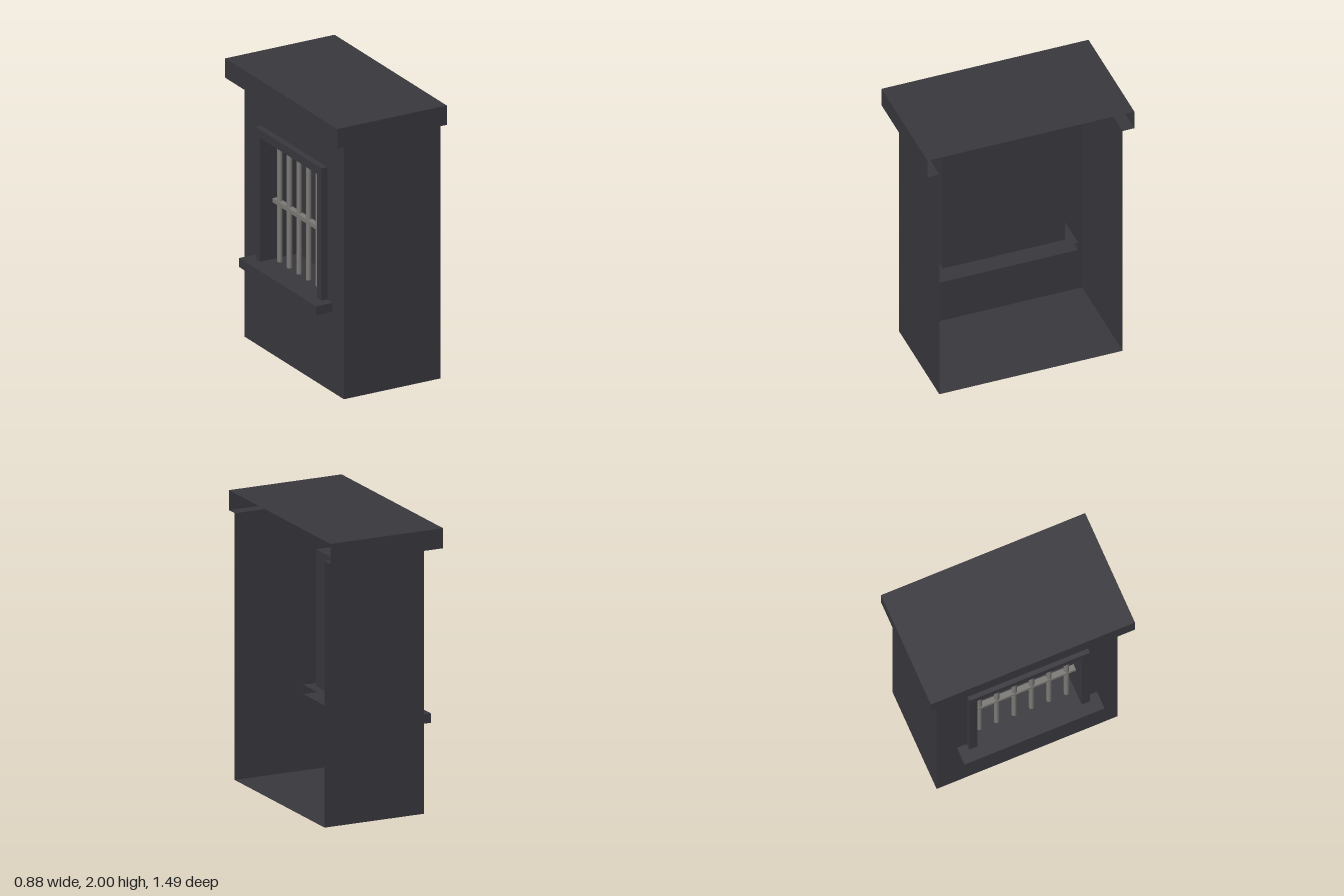
import * as THREE from 'three';

export function createModel() {
  const model = new THREE.Group();
  const dark = new THREE.MeshStandardMaterial({ color: 0x39383e, side: THREE.DoubleSide });
  dark.name = 'dark painted wall';
  const metal = new THREE.MeshStandardMaterial({ color: 0x7d7b77 });
  metal.name = 'grey metal';

  function add(name, geometry, material = dark, parent = model) {
    const mesh = new THREE.Mesh(geometry, material);
    mesh.name = name;
    parent.add(mesh);
    return mesh;
  }

  // box given by its limits; skip lists faces left open (0 +x, 1 -x, 2 +y, 3 -y, 4 +z, 5 -z)
  function box(x0, x1, y0, y1, z0, z1, skip = []) {
    const g = new THREE.BoxGeometry(x1 - x0, y1 - y0, z1 - z0);
    const index = Array.from(g.index.array).filter((_, i) => !skip.includes(Math.floor(i / 6)));
    g.setIndex(index);
    g.clearGroups();
    return g.translate((x0 + x1) / 2, (y0 + y1) / 2, (z0 + z1) / 2);
  }

  const outline = (pts) => pts.map(([a, b]) => new THREE.Vector2(a, b));

  // booth shell: floor and two end walls, open towards +x
  add('boothShell', box(-0.31, 0.44, 0, 1.86, -0.66, 0.66, [0, 1, 2]));

  // window wall with its opening
  const wall = new THREE.Shape(outline([[-0.66, 0], [0.66, 0], [0.66, 1.86], [-0.66, 1.86]]));
  wall.holes.push(new THREE.Path(outline([[-0.38, 0.645], [-0.38, 1.54], [0.38, 1.54], [0.38, 0.645]])));
  add('windowWall', new THREE.ShapeGeometry(wall).rotateY(-Math.PI / 2).translate(-0.31, 0, 0));

  // hollow roof and the soffit under its overhang
  add('roof', box(-0.41, 0.44, 1.86, 2, -0.745, 0.745, [0, 3]));
  const soffit = new THREE.Shape(outline([
    [0.44, -0.745], [-0.41, -0.745], [-0.41, 0.745], [0.44, 0.745],
    [0.44, 0.66], [-0.31, 0.66], [-0.31, -0.66], [0.44, -0.66],
  ]));
  add('soffit', new THREE.ShapeGeometry(soffit).rotateX(Math.PI / 2).translate(0, 1.86, 0));

  // window frame running inwards to a closed back panel
  const frame = new THREE.Group();
  frame.name = 'windowFrame';
  model.add(frame);
  for (const side of [-1, 1]) {
    const jamb = box(-0.355, -0.06, 0.645, 1.6, -0.03, 0.03);
    add(side > 0 ? 'leftJamb' : 'rightJamb', jamb.translate(0, 0, side * 0.41), dark, frame);
  }
  add('lintel', box(-0.355, -0.06, 1.54, 1.6, -0.38, 0.38), dark, frame);
  const back = new THREE.PlaneGeometry(0.88, 0.955).rotateY(Math.PI / 2);
  add('backPanel', back.translate(-0.059, 1.1225, 0), dark, frame);

  // hollow counter sill, open at its inner end
  add('sill', box(-0.44, 0, 0.58, 0.645, -0.51, 0.51, [0]));

  // window grille: six upright bars and a cross rail
  const grille = new THREE.Group();
  grille.name = 'grille';
  model.add(grille);
  for (let i = 0; i < 6; i++) {
    const bar = new THREE.CylinderGeometry(0.019, 0.019, 1.09, 10);
    add('bar', bar.translate(-0.235, 1.09, -0.318 + i * 0.1275), metal, grille);
  }
  add('crossRail', box(-0.255, -0.215, 1.055, 1.085, -0.41, 0.41), metal, grille);

  return model;
}
